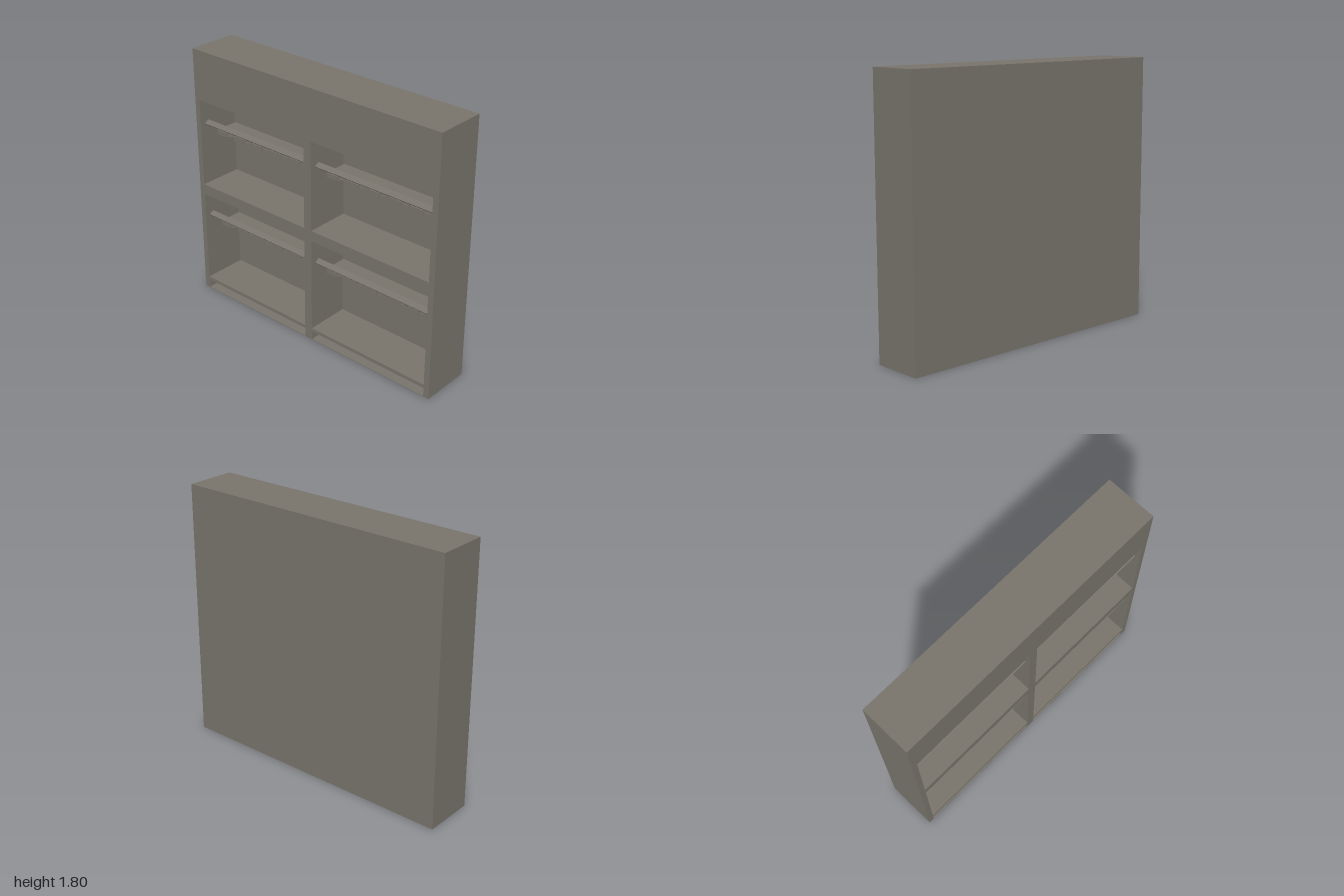
import * as THREE from 'three';

const HALF_DEPTH = 0.175, BACK = -0.135;

function rect(path, x0, x1, y0, y1) {
  path.moveTo(x0, y0);
  path.lineTo(x1, y0);
  path.lineTo(x1, y1);
  path.lineTo(x0, y1);
  path.closePath();
  return path;
}

export function createModel() {
  const model = new THREE.Group();
  const grey = new THREE.MeshStandardMaterial({ color: 0x78746c });
  grey.name = 'warmGrey';

  function add(name, geometry, x = 0, y = 0, z = 0) {
    const mesh = new THREE.Mesh(geometry, grey);
    mesh.name = name;
    mesh.position.set(x, y, z);
    model.add(mesh);
    return mesh;
  }

  // Carcass: front outline with two columns of openings
  const bays = [[-0.96, -0.03], [0.03, 0.96]];
  const rows = [[0.004, 0.065], [0.09, 0.755], [0.83, 1.45]];
  const outline = rect(new THREE.Shape(), -1, 1, 0, 1.8);
  for (const [x0, x1] of bays) {
    for (const [y0, y1] of rows) outline.holes.push(rect(new THREE.Path(), x0, x1, y0, y1));
  }
  add('carcass', new THREE.ExtrudeGeometry(outline, { depth: HALF_DEPTH - BACK, bevelEnabled: false }), 0, 0, BACK);

  // Solid back panel
  const backDepth = BACK + HALF_DEPTH;
  add('backPanel', new THREE.BoxGeometry(2, 1.8, backDepth), 0, 0.9, -HALF_DEPTH + backDepth / 2);

  // Notched rack plate, drawn in plan and laid flat
  function rackGeometry(width) {
    const w = width / 2, front = 0.035, r = 0.036;
    const plan = new THREE.Shape();
    plan.moveTo(-w, BACK);
    plan.lineTo(w, BACK);
    plan.lineTo(w, front);
    for (let i = 2; i >= -2; i--) {
      const c = i * 0.168;
      plan.lineTo(c + r, front);
      plan.absarc(c, front, r, 0, -Math.PI, true);
    }
    plan.lineTo(-w, front);
    plan.closePath();
    return new THREE.ExtrudeGeometry(plan, { depth: 0.032, bevelEnabled: false, curveSegments: 8 })
      .rotateX(Math.PI / 2);
  }

  // Each bay: a tilted front rail with the notched rack below and behind it
  for (const [x0, x1] of bays) {
    const x = (x0 + x1) / 2;
    for (const [railY, rackTop] of [[0.587, 0.49], [1.277, 1.192]]) {
      const rail = add('frontRail', new THREE.BoxGeometry(x1 - x0, 0.008, 0.04), x, railY, 0.12);
      rail.rotation.x = 0.5;
      add('notchedRack', rackGeometry(x1 - x0 - 0.01), x, rackTop, 0);
    }
  }
  return model;
}
